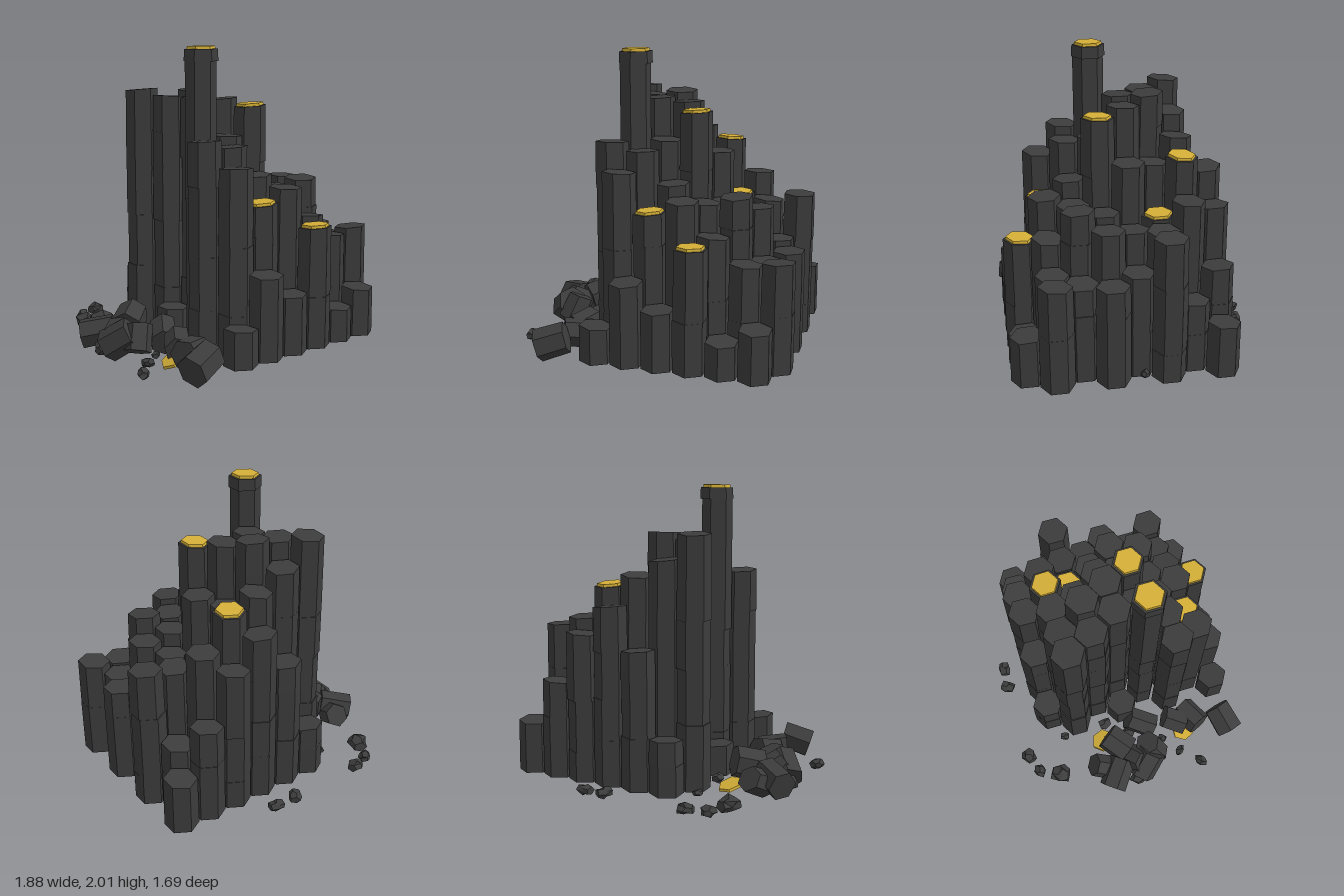
import * as THREE from 'three';

const basalt = new THREE.MeshStandardMaterial({ color: 0x3c3c3c });
basalt.name = 'basalt';
const gold = new THREE.MeshStandardMaterial({ color: 0xd4af37 });
gold.name = 'gold';

// small seeded generator
let seed = 11;
const rnd = (a = 0, b = 1) => {
  seed = (seed * 16807) % 2147483647;
  return a + (b - a) * (seed / 2147483647);
};

function flat(geo) {
  const g = geo.index ? geo.toNonIndexed() : geo;
  g.computeVertexNormals();
  return g;
}

// hexagonal prism standing from y0 to y1, its top plane tilted by (tx, tz)
function hexPrism(rTop, rBottom, y0, y1, tx = 0, tz = 0, tiltBottom = false) {
  const g = new THREE.CylinderGeometry(rTop, rBottom, y1 - y0, 6);
  const p = g.attributes.position;
  for (let i = 0; i < p.count; i++) {
    const tilt = p.getY(i) > 0 || tiltBottom ? tx * p.getX(i) + tz * p.getZ(i) : 0;
    p.setY(i, p.getY(i) + (y0 + y1) / 2 + tilt);
  }
  return flat(g);
}

function add(parent, geo, mat, name) {
  const m = new THREE.Mesh(geo, mat);
  m.name = name;
  parent.add(m);
  return m;
}

// column heights, rows from back to front, each from right (-x) to left (+x)
const HEIGHTS = [
  [0.40, 0.96, 1.23, 1.04, 0.70, 0.40],
  [1.70, 1.53, 1.42, 1.36, 1.12, 0.52],
  [1.66, 1.69, 1.28, 1.01, 0.97, 1.02],
  [0.25, 1.66, 1.64, 1.32, 0.95, 0.75],
  [1.995, 1.41, 1.615, 1.03, 1.00, 0.72],
  [1.41, 1.36, 1.16, 1.05, 1.10, 0.70],
  [1.25, 1.02, 1.09, 0.88, 0.72, 0.75],
  [0.28, 0.59, 0.43, 0.86, 0.27, 0.37],
];
const CAPPED = ['1,3', '2,3', '4,0', '4,2', '6,1', '7,3'];
const BASE = 0.045;
const CAP = 0.018;

// a column of stacked segments with slightly shifted joints
function column(row, col) {
  const g = new THREE.Group();
  g.name = 'column';
  const x = (row % 2 ? -0.302 : -0.198) + col * 0.2072;
  g.position.set(x, 0, -0.53 + row * 0.1785);
  const capped = CAPPED.includes(`${row},${col}`);
  const h = HEIGHTS[row][col] - (capped ? CAP : 0);
  const tallest = row === 4 && col === 0;
  const joints = [BASE];
  let y = BASE + rnd(0.2, 0.5);
  while (y < h - 0.15) {
    joints.push(y);
    y += rnd(0.25, 0.5);
  }
  if (tallest) joints.push(1.9);
  joints.push(h);
  for (let i = 0; i < joints.length - 1; i++) {
    const last = i === joints.length - 2;
    const r = tallest && !last ? 0.103 : i === 0 || last ? 0.112 : rnd(0.107, 0.114);
    const tx = last ? rnd(-0.09, 0.09) : 0;
    const tz = last ? rnd(-0.09, 0.09) : 0;
    const seg = add(g, hexPrism(r * (last ? 0.97 : 1), r, joints[i], joints[i + 1], tx, tz), basalt, 'columnSegment');
    if (i > 0) seg.position.set(rnd(-0.004, 0.004), 0, rnd(-0.004, 0.004));
    if (last && capped) {
      const cap = add(g, hexPrism(0.09, 0.093, h, h + CAP, tx, tz, true), gold, 'goldCap');
      cap.position.copy(seg.position);
    }
  }
  return g;
}

// loose prism centred at (x, y, z) whose axis points along dir
function fallen(parent, x, y, z, dir, r, len, spin, mat = basalt, name = 'fallenChunk') {
  const up = new THREE.Vector3(0, 1, 0);
  const tilt = mat === basalt ? rnd(-0.2, 0.2) : 0;
  const m = add(parent, hexPrism(r * 0.95, r, -len / 2, len / 2, tilt, 0), mat, name);
  m.quaternion.setFromUnitVectors(up, new THREE.Vector3(...dir).normalize());
  m.rotateY(spin);
  m.position.set(x, y, z);
}

// irregular loose stone
function rock(parent, x, y, z, r) {
  const geo = new THREE.DodecahedronGeometry(r, 0);
  const p = geo.attributes.position;
  const k = rnd(0, 6);
  for (let i = 0; i < p.count; i++) {
    const s = 0.9 + 0.2 * Math.sin(k + p.getX(i) * 2.3 / r + p.getZ(i) * 3.1 / r + p.getY(i) / r);
    p.setXYZ(i, p.getX(i) * s, p.getY(i) * s * 0.75, p.getZ(i) * s);
  }
  const m = add(parent, flat(geo), basalt, 'rock');
  m.position.set(x, y, z);
  m.rotation.y = rnd(0, 6);
}

export function createModel() {
  seed = 11;
  const model = new THREE.Group();
  model.name = 'basaltColumns';

  const columns = new THREE.Group();
  columns.name = 'columns';
  HEIGHTS.forEach((row, r) => row.forEach((_, c) => columns.add(column(r, c))));
  model.add(columns);

  // rubble heap beside the cliff
  const rubble = new THREE.Group();
  rubble.name = 'rubble';
  fallen(rubble, -0.79, 0.13, -0.17, [0.8, 0.2, 0.6], 0.1, 0.22, 0.3);
  fallen(rubble, -0.71, 0.12, -0.25, [0.3, 0.4, -0.8], 0.09, 0.17, 0.8);
  fallen(rubble, -0.58, 0.18, -0.11, [0.7, 0.25, -0.6], 0.11, 0.19, 0.2);
  fallen(rubble, -0.77, 0.13, 0.06, [0.5, 0.5, 0.6], 0.11, 0.2, 0.5);
  fallen(rubble, -0.68, 0.14, 0.13, [0.3, 0.8, -0.3], 0.1, 0.18, 0.1);
  fallen(rubble, -0.71, 0.15, -0.02, [-0.6, 0.4, 0.5], 0.09, 0.2, 0.9);
  fallen(rubble, -0.46, 0.12, 0.11, [0.5, 0.3, -0.8], 0.095, 0.21, 0.4);
  fallen(rubble, -0.52, 0.13, 0.36, [0.5, 0.2, -0.8], 0.095, 0.17, 0.2);
  fallen(rubble, -0.52, 0.11, 0.49, [-0.9, 0.15, 0.45], 0.1, 0.19, 0.5);
  fallen(rubble, -0.61, 0.13, 0.72, [0.9, 0.3, -0.25], 0.11, 0.2, 0.6);
  // broken gold caps half buried under the chunks
  fallen(rubble, -0.5, 0.05, -0.2, [0.2, 0.9, -0.25], 0.09, CAP, 0.3, gold, 'fallenGoldCap');
  fallen(rubble, -0.6, 0.06, 0.41, [-0.5, 0.8, -0.1], 0.085, CAP, 0.5, gold, 'fallenGoldCap');
  model.add(rubble);

  // loose stones
  const stones = new THREE.Group();
  stones.name = 'looseStones';
  [
    [-0.59, 0.06, -0.72, 0.055], [-0.46, 0.07, -0.77, 0.06], [0.11, 0.08, -0.79, 0.055],
    [0.26, 0.07, -0.78, 0.055], [-0.66, 0.07, -0.58, 0.08], [-0.39, 0.06, -0.47, 0.035],
    [-0.38, 0.06, -0.15, 0.05], [-0.61, 0.04, 0.24, 0.035], [-0.74, 0.05, 0.34, 0.045],
    [-0.86, 0.05, 0.47, 0.055], [0.84, 0.07, -0.02, 0.04], [0.56, 0.05, 0.62, 0.035],
    [0.74, 0.05, -0.45, 0.035], [-0.85, 0.06, -0.02, 0.07], [-0.5, 0.05, 0.0, 0.06],
  ].forEach((s) => rock(stones, ...s));
  model.add(stones);
  return model;
}
